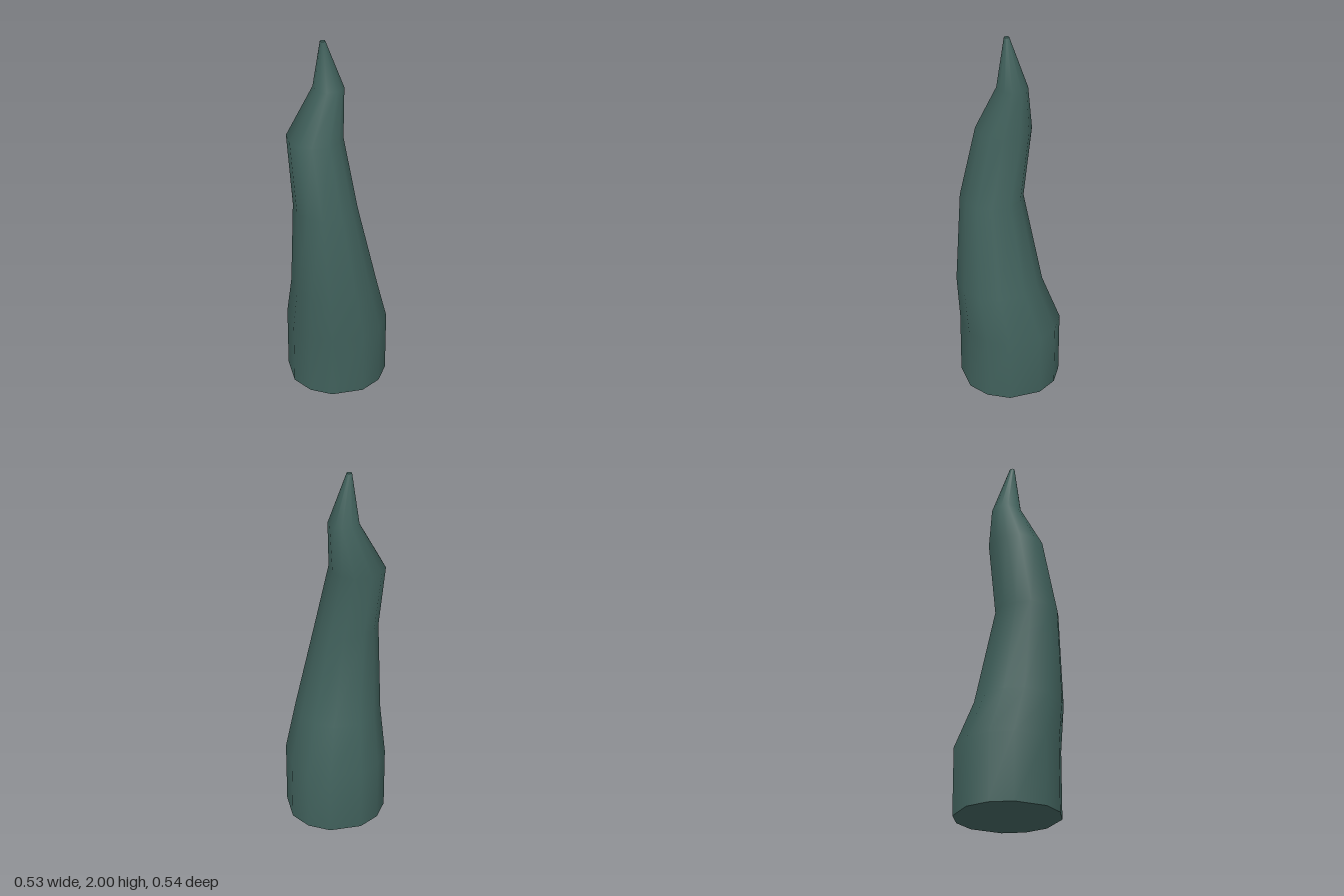
import * as THREE from 'three';

// Twelve-sided cross-section, with corners slightly off an even spacing
const ANGLES = [];
for (let q = 0; q < 4; q++) {
  for (const a of [18.3, 45, 71.7]) ANGLES.push(THREE.MathUtils.degToRad(q * 90 + a));
}
const SIDES = ANGLES.length;

// Rings from base to tip: [height, centre x, centre z, half width]
const RINGS = [
  [0, 0, -0.005, 0.263],
  [0.36, 0, -0.005, 0.263],
  [0.61, -0.026, 0.048, 0.223],
  [1.11, -0.08, 0.071, 0.161],
  [1.48, -0.115, -0.008, 0.141],
  [1.74, -0.037, -0.029, 0.077],
  [2, -0.07, -0.01, 0.013],
];

function ringPoints([y, cx, cz, half]) {
  const r = half / Math.cos(ANGLES[0]);
  return ANGLES.flatMap((a) => [cx + r * Math.cos(a), y, cz + r * Math.sin(a)]);
}

function buildGeometry(positions, indices) {
  const g = new THREE.BufferGeometry();
  g.setAttribute('position', new THREE.Float32BufferAttribute(positions, 3));
  g.setIndex(indices);
  g.computeVertexNormals();
  return g;
}

// Smooth skin joining all rings
function skin() {
  const indices = [];
  for (let k = 0; k < RINGS.length - 1; k++) {
    for (let i = 0; i < SIDES; i++) {
      const j = (i + 1) % SIDES;
      const a = k * SIDES + i, b = k * SIDES + j;
      const c = a + SIDES, d = b + SIDES;
      indices.push(a, c, b, c, d, b);
    }
  }
  return buildGeometry(RINGS.flatMap(ringPoints), indices);
}

// Flat end closing one ring
function cap(ring, facesUp) {
  const indices = [];
  for (let i = 1; i < SIDES - 1; i++) {
    indices.push(0, ...(facesUp ? [i + 1, i] : [i, i + 1]));
  }
  return buildGeometry(ringPoints(ring), indices);
}

export function createModel() {
  const group = new THREE.Group();
  group.name = 'twistedHorn';
  const darkTeal = new THREE.MeshStandardMaterial({ color: 0x40605b });
  darkTeal.name = 'dark teal';

  const parts = {
    hornBody: skin(),
    baseCap: cap(RINGS[0], false),
    tipCap: cap(RINGS[RINGS.length - 1], true),
  };
  for (const [name, geometry] of Object.entries(parts)) {
    const mesh = new THREE.Mesh(geometry, darkTeal);
    mesh.name = name;
    group.add(mesh);
  }
  return group;
}
